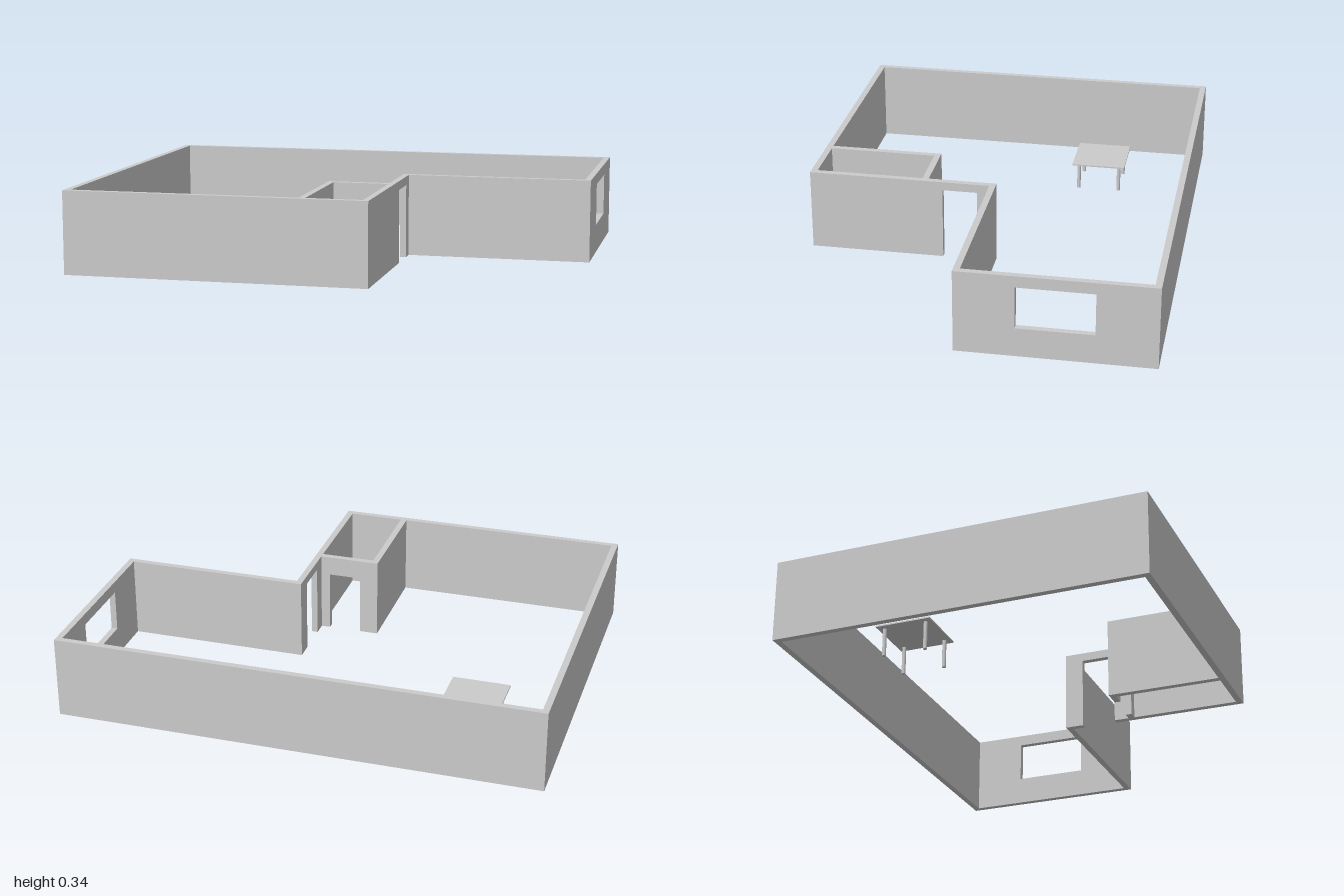
import * as THREE from 'three';

const H = 0.34; // wall height
const T = 0.026; // wall thickness
const Z = 0.77; // half depth of the plan

const material = new THREE.MeshStandardMaterial({ color: 0xcccccc });

// A straight wall from a to b along x or z; its low side lies at the given offset.
// door: [start, end, height], window: [start, end, sill, head]
function wall(name, axis, a, b, offset, { door, window } = {}) {
  const pts = [[a, 0]];
  if (door) {
    const [s, e, h] = door;
    pts.push([s, 0], [s, h], [e, h], [e, 0]);
  }
  pts.push([b, 0], [b, H], [a, H]);
  const shape = new THREE.Shape(pts.map(([u, v]) => new THREE.Vector2(u, v)));
  if (window) {
    const [s, e, sill, head] = window;
    shape.holes.push(new THREE.Path(
      [[s, sill], [s, head], [e, head], [e, sill]].map(([u, v]) => new THREE.Vector2(u, v))
    ));
  }
  const geometry = new THREE.ExtrudeGeometry(shape, { depth: T, bevelEnabled: false });
  if (axis === 'x') geometry.translate(0, 0, offset);
  else geometry.rotateY(-Math.PI / 2).translate(offset + T, 0, 0);
  const mesh = new THREE.Mesh(geometry, material);
  mesh.name = name;
  return mesh;
}

function createTable() {
  const table = new THREE.Group();
  table.name = 'table';
  const width = 0.24, depth = 0.232, height = 0.124, thick = 0.006;

  const top = new THREE.Mesh(new THREE.BoxGeometry(width, thick, depth), material);
  top.name = 'tableTop';
  top.position.y = height - thick / 2;
  table.add(top);

  const legHeight = height - thick;
  const legGeometry = new THREE.CylinderGeometry(0.008, 0.008, legHeight, 16);
  for (const sx of [-1, 1]) {
    for (const sz of [-1, 1]) {
      const leg = new THREE.Mesh(legGeometry, material);
      leg.name = 'tableLeg';
      leg.position.set(sx * (width / 2 - 0.03), legHeight / 2, sz * (depth / 2 - 0.027));
      table.add(leg);
    }
  }
  table.position.set(-0.625, 0, -0.34);
  return table;
}

export function createModel() {
  const house = new THREE.Group();
  house.name = 'floorPlan';

  const notchX = 0.24; // outer corner of the L-shaped plan
  const notchZ = 0.014;

  // Outer walls
  house.add(
    wall('backWall', 'x', -1, 1, -Z),
    wall('rightWall', 'z', -Z + T, Z - T, -1),
    wall('frontWall', 'x', -1, notchX, Z - T),
    wall('leftWall', 'z', -Z + T, notchZ - T, 1 - T, { window: [-0.53, -0.224, 0.12, 0.293] }),
    wall('recessedFrontWall', 'x', notchX - T, 1, notchZ - T),
    wall('entranceWall', 'z', notchZ, Z - T, notchX - T, { door: [0.066, 0.21, 0.304] })
  );

  // Small inner room in the front corner
  const roomX = -0.04, roomZ = 0.272;
  house.add(
    wall('innerRoomBackWall', 'x', roomX, notchX - T, roomZ, { door: [0.038, 0.176, 0.258] }),
    wall('innerRoomSideWall', 'z', roomZ + T, Z - T, roomX)
  );

  house.add(createTable());
  return house;
}
